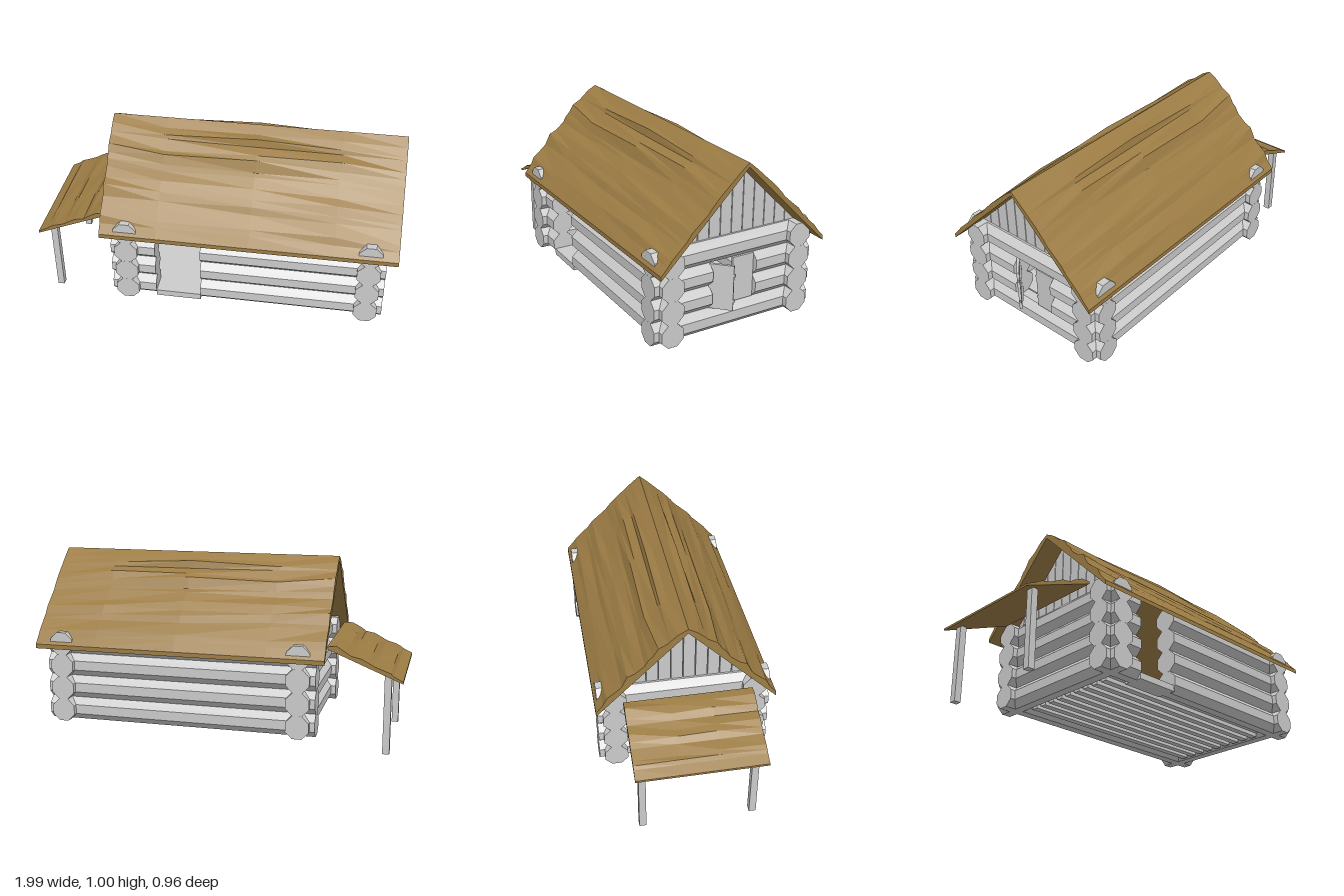
import * as THREE from 'three';

const grey = new THREE.MeshStandardMaterial({ color: 0xcccccc, flatShading: true });
const brown = new THREE.MeshStandardMaterial({ color: 0x9c7c44, flatShading: true, side: THREE.DoubleSide });

const ROW = 0.125, BASE = 0.095;            // log height and underside of the lowest log
const WALL_Z = 0.375, LEFT_X = 0.845, RIGHT_X = -0.47;

export function createModel() {
  const root = new THREE.Group();

  function group(name, parent = root) {
    const g = new THREE.Group();
    g.name = name;
    parent.add(g);
    return g;
  }
  function add(parent, name, geometry, x = 0, y = 0, z = 0, material = grey) {
    const m = new THREE.Mesh(geometry, material);
    m.name = name;
    m.position.set(x, y, z);
    parent.add(m);
    return m;
  }
  const box = (parent, name, w, h, d, x, y, z) => add(parent, name, new THREE.BoxGeometry(w, h, d), x, y, z);

  // Eight-sided log running from a to b along the x or z axis
  function log(parent, axis, a, b, row, across) {
    const g = new THREE.CylinderGeometry(0.0676, 0.0676, b - a, 8);
    g.rotateY(Math.PI / 8);
    const y = BASE + ROW * (row + 0.5), mid = (a + b) / 2;
    if (axis === 'x') add(parent, 'log', g.rotateZ(Math.PI / 2), mid, y, across);
    else add(parent, 'log', g.rotateX(Math.PI / 2), across, y, mid);
  }

  // Walls with crossing corners, a doorway in front and a window on the left
  const front = group('frontWall'), back = group('backWall');
  const left = group('leftWall'), right = group('rightWall');
  for (let row = 0; row < 4; row++) {
    log(back, 'x', -0.56, 0.935, row, -WALL_Z);
    log(front, 'x', -0.56, -0.315, row, WALL_Z);
    log(front, 'x', -0.065, 0.935, row, WALL_Z);
    log(right, 'z', -0.465, 0.465, row, RIGHT_X);
    if (row === 1 || row === 2) {
      log(left, 'z', -0.465, -0.13, row, LEFT_X);
      log(left, 'z', 0.13, 0.465, row, LEFT_X);
    } else log(left, 'z', -0.465, 0.465, row, LEFT_X);
  }
  box(front, 'doorSill', 0.25, 0.035, 0.11, -0.19, 0.1125, WALL_Z);

  // Floor boards on joists
  const floor = group('floor');
  box(floor, 'floorDeck', LEFT_X - RIGHT_X, 0.012, 0.72, 0.1875, 0.124, 0);
  for (let i = -4; i <= 4; i++) box(floor, 'joist', 1.22, 0.022, 0.038, 0.1875, 0.107, i * 0.068);

  // Window shutters: one closed, one swung outward
  function shutter(name, z, side, angle) {
    const g = group(name);
    g.position.set(0.872, 0.345, z);
    g.rotation.y = angle;
    box(g, 'shutterBoard', 0.014, 0.245, 0.124, 0, 0, side * 0.062);
    for (const y of [-0.07, 0.07]) {
      box(g, 'shutterBatten', 0.01, 0.02, 0.1, -0.01, y, side * 0.062);
      box(g, 'shutterPin', 0.012, 0.012, 0.01, 0, y, side * 0.127);
    }
  }
  shutter('closedShutter', -0.13, 1, 0);
  shutter('openShutter', 0.13, -1, -Math.PI / 4);

  // Gable planks cut to the roof slope
  for (const [name, x] of [['leftGable', LEFT_X], ['rightGable', RIGHT_X]]) {
    const gable = group(name);
    for (const s of [-1, 1]) for (let k = 0; k < 6; k++) {
      const a = k * 0.0655 + 0.002, b = Math.min((k + 1) * 0.0655 - 0.002, 0.387);
      const shape = new THREE.Shape([
        [a, 0.585], [b, 0.585], [b, 0.98 - b], [a, 0.98 - a],
      ].map(([z, y]) => new THREE.Vector2(s * z, y)));
      const g = new THREE.ExtrudeGeometry(shape, { depth: 0.03, bevelEnabled: false });
      add(gable, 'gablePlank', g.rotateY(-Math.PI / 2), x + 0.015, 0, 0);
    }
  }

  // Rough sheet: bumps over a flat underside, swept through stations
  // profile: [distance down slope, bump height]; stations: [position, bump scale]
  function sheet(name, profile, stations, thickness, place) {
    const pos = [];
    const point = (i, j, top) => {
      const [s, bump] = profile[i], [t, scale] = stations[j];
      const wobble = 1 + 0.3 * Math.sin(i * 2.3 + j * 1.7);
      return place(s, top ? bump * scale * wobble : -thickness, t);
    };
    const quad = (a, b, c, d) => pos.push(...a, ...b, ...c, ...a, ...c, ...d);
    const n = profile.length - 1, m = stations.length - 1;
    for (let i = 0; i < n; i++) {
      for (let j = 0; j < m; j++) for (const top of [true, false])
        quad(point(i, j, top), point(i, j + 1, top), point(i + 1, j + 1, top), point(i + 1, j, top));
      for (const j of [0, m])
        quad(point(i, j, true), point(i + 1, j, true), point(i + 1, j, false), point(i, j, false));
    }
    for (let j = 0; j < m; j++) for (const i of [0, n])
      quad(point(i, j, true), point(i, j + 1, true), point(i, j + 1, false), point(i, j, false));
    const g = new THREE.BufferGeometry();
    g.setAttribute('position', new THREE.Float32BufferAttribute(pos, 3));
    g.computeVertexNormals();
    add(root, name, g, 0, 0, 0, brown);
  }

  // Main roof slopes
  const roofProfile = [
    [0, 0], [0.05, 0.018], [0.09, 0.038], [0.1, 0.022], [0.15, 0.045], [0.175, 0.045], [0.2, 0.025],
    [0.22, 0.02], [0.27, 0.03], [0.31, 0.038], [0.34, 0.025], [0.36, 0.018], [0.42, 0.026], [0.44, 0.012], [0.478, 0],
  ];
  const roofStations = [[-0.61, 1], [-0.3, 0.85], [0.2, 1], [0.65, 0.8], [0.99, 0.4]];
  for (const [name, side] of [['frontRoof', 1], ['backRoof', -1]])
    sheet(name, roofProfile, roofStations, 0.024, (s, h, t) => [t, 1.005 - s + h, side * s]);

  // Lean-to canopy on two posts
  const canopyProfile = [
    [0, 0], [0.05, 0.022], [0.1, 0.022], [0.13, 0.008], [0.18, 0.018], [0.22, 0.02],
    [0.25, 0.008], [0.31, 0.014], [0.335, 0.016], [0.35, 0.004], [0.4, 0],
  ];
  sheet('canopy', canopyProfile, [[-0.335, 1], [-0.1, 0.8], [0.12, 1], [0.35, 0.7]], 0.012,
    (s, h, t) => [-0.6 - s, 0.57 - s * 0.41 + h, t]);
  for (const z of [-0.293, 0.295]) box(root, 'canopyPost', 0.037, 0.425, 0.037, -0.921, 0.2125, z);

  return root;
}
